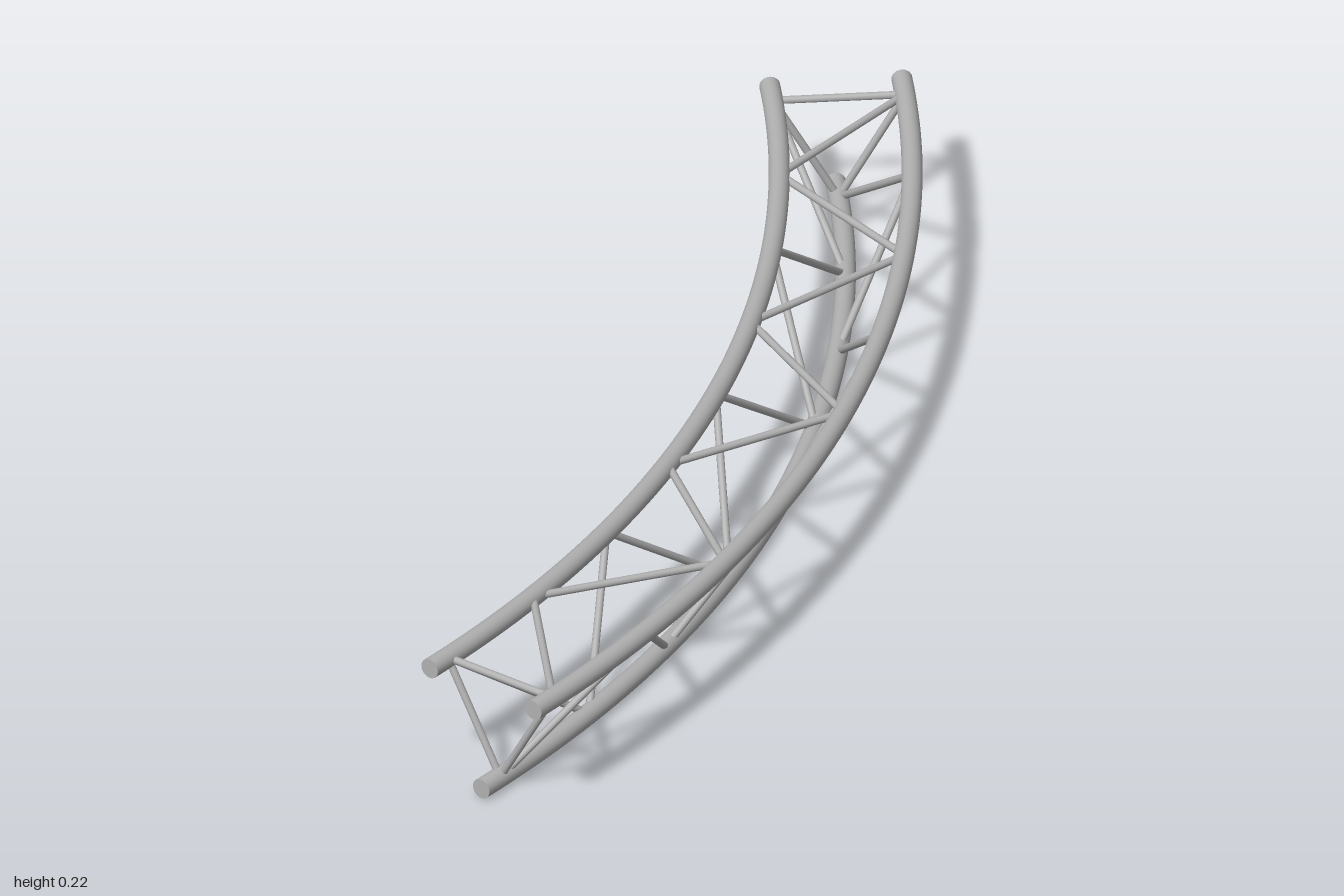
import * as THREE from 'three';

const CX = -2.329, CZ = 1;            // centre of the bend
const SWEEP = Math.PI / 4;
const CHORD_R = 0.0172, BRACE_R = 0.0065;
const BAYS = 8, INSET = THREE.MathUtils.degToRad(1.06);

// Main chords: bend radius and height
const INNER = { name: 'innerChord', radius: 2.595, y: 0.205 };
const OUTER = { name: 'outerChord', radius: 2.812, y: 0.205 };
const LOWER = { name: 'lowerChord', radius: 2.703, y: 0.0175 };

const pointOn = (chord, a) => new THREE.Vector3(
  CX + chord.radius * Math.cos(a), chord.y, CZ - chord.radius * Math.sin(a));

class ArcCurve extends THREE.Curve {
  constructor(chord) { super(); this.chord = chord; }
  getPoint(t, target = new THREE.Vector3()) {
    return target.copy(pointOn(this.chord, t * SWEEP));
  }
  getTangent(t, target = new THREE.Vector3()) {
    const a = t * SWEEP;
    return target.set(-Math.sin(a), 0, -Math.cos(a));
  }
}

export function createModel() {
  const model = new THREE.Group();
  model.name = 'curvedTriangularTruss';
  const metal = new THREE.MeshStandardMaterial({ color: 0xb0b0b0 });
  metal.name = 'aluminium grey';

  // Curved tubes with closed ends
  const capGeometry = new THREE.CircleGeometry(CHORD_R, 24);
  for (const chord of [INNER, OUTER, LOWER]) {
    const group = new THREE.Group();
    group.name = chord.name;
    const tube = new THREE.Mesh(
      new THREE.TubeGeometry(new ArcCurve(chord), 64, CHORD_R, 24), metal);
    tube.name = 'chordTube';
    group.add(tube);
    for (const [a, turn] of [[0, 0], [SWEEP, SWEEP + Math.PI]]) {
      const cap = new THREE.Mesh(capGeometry, metal);
      cap.name = 'endCap';
      cap.position.copy(pointOn(chord, a));
      cap.rotation.y = turn;
      group.add(cap);
    }
    model.add(group);
  }

  // Straight rod between two points
  const up = new THREE.Vector3(0, 1, 0);
  const addRod = (parent, name, from, to) => {
    const dir = to.clone().sub(from);
    const rod = new THREE.Mesh(
      new THREE.CylinderGeometry(BRACE_R, BRACE_R, dir.length(), 12), metal);
    rod.name = name;
    rod.position.copy(from).add(to).multiplyScalar(0.5);
    rod.quaternion.setFromUnitVectors(up, dir.normalize());
    parent.add(rod);
  };

  // Each face: zigzag lacing (first chord on even nodes) and a bar at both ends
  const nodeAngle = (i) => INSET + (SWEEP - 2 * INSET) * i / BAYS;
  const faces = [
    ['topLacing', OUTER, INNER],
    ['innerLacing', INNER, LOWER],
    ['outerLacing', LOWER, OUTER],
  ];
  for (const [name, even, odd] of faces) {
    const group = new THREE.Group();
    group.name = name;
    const node = (i) => pointOn(i % 2 ? odd : even, nodeAngle(i));
    for (let i = 0; i < BAYS; i++) addRod(group, 'diagonalBrace', node(i), node(i + 1));
    for (const i of [0, BAYS])
      addRod(group, 'endBar', pointOn(even, nodeAngle(i)), pointOn(odd, nodeAngle(i)));
    model.add(group);
  }
  return model;
}
